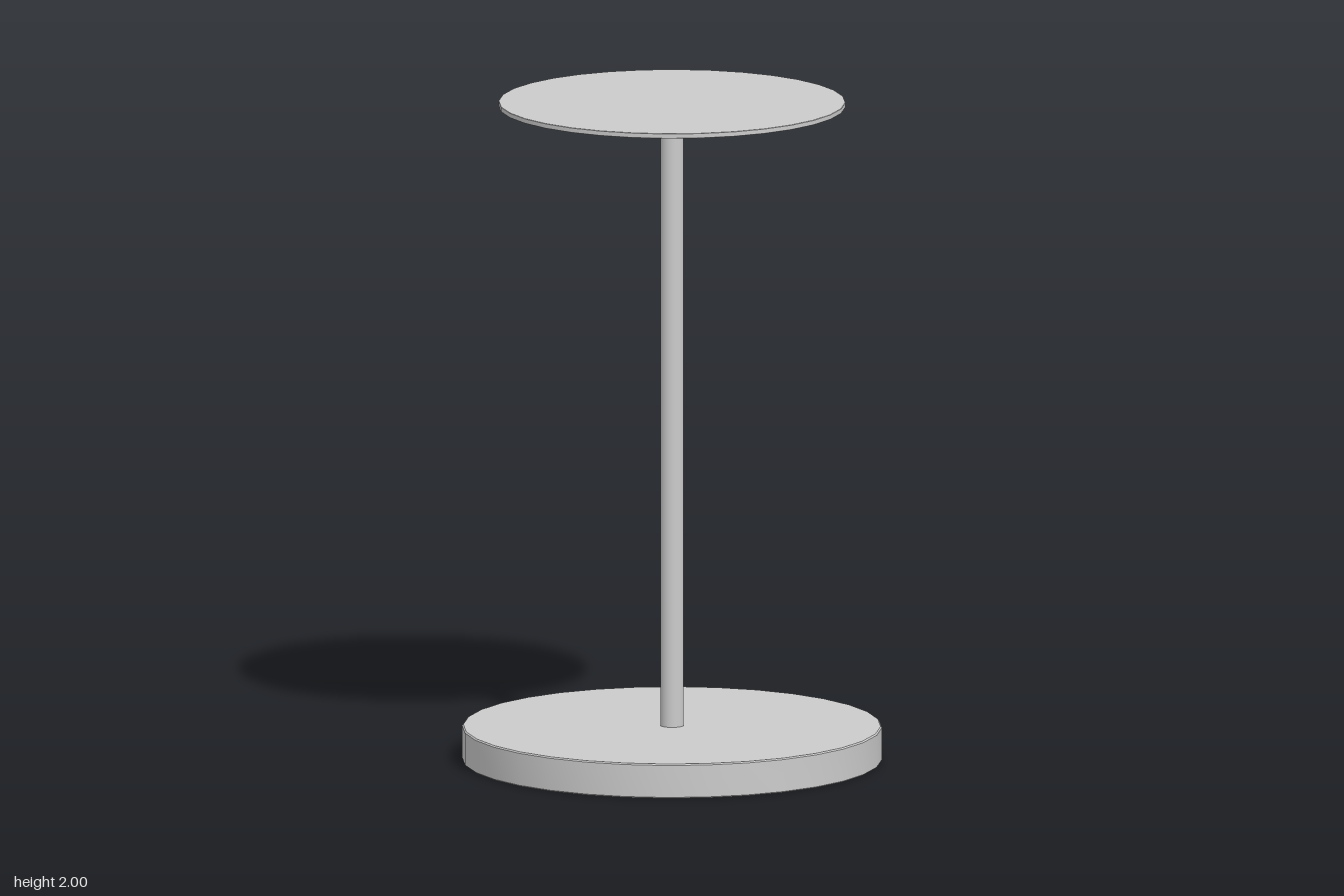
import * as THREE from 'three';
import { toCreasedNormals } from 'three/addons/utils/BufferGeometryUtils.js';

const SEGMENTS = 32;
const material = new THREE.MeshStandardMaterial({ color: 0xcccccc });

// Closed round slab between two heights, with a small chamfer on both rims
function slab(name, radius, bottom, top, bevel) {
  const profile = [
    [0, bottom], [radius - bevel, bottom], [radius, bottom + bevel],
    [radius, top - bevel], [radius - bevel, top], [0, top],
  ].map(([x, y]) => new THREE.Vector2(x, y));
  const geometry = toCreasedNormals(new THREE.LatheGeometry(profile, SEGMENTS), Math.PI / 6);
  const mesh = new THREE.Mesh(geometry, material);
  mesh.name = name;
  return mesh;
}

export function createModel() {
  const group = new THREE.Group();
  group.name = 'pedestalTable';

  // Heavy round foot
  group.add(slab('base', 0.627, 0, 0.105, 0.004));

  // Slim column, ends seated in the base and under the top
  const bottom = 0.1, top = 1.99;
  const column = new THREE.Mesh(
    new THREE.CylinderGeometry(0.035, 0.035, top - bottom, SEGMENTS), material);
  column.position.y = (bottom + top) / 2;
  column.name = 'column';
  group.add(column);

  // Thin round table top
  group.add(slab('tableTop', 0.518, 1.985, 2, 0.001));

  return group;
}
